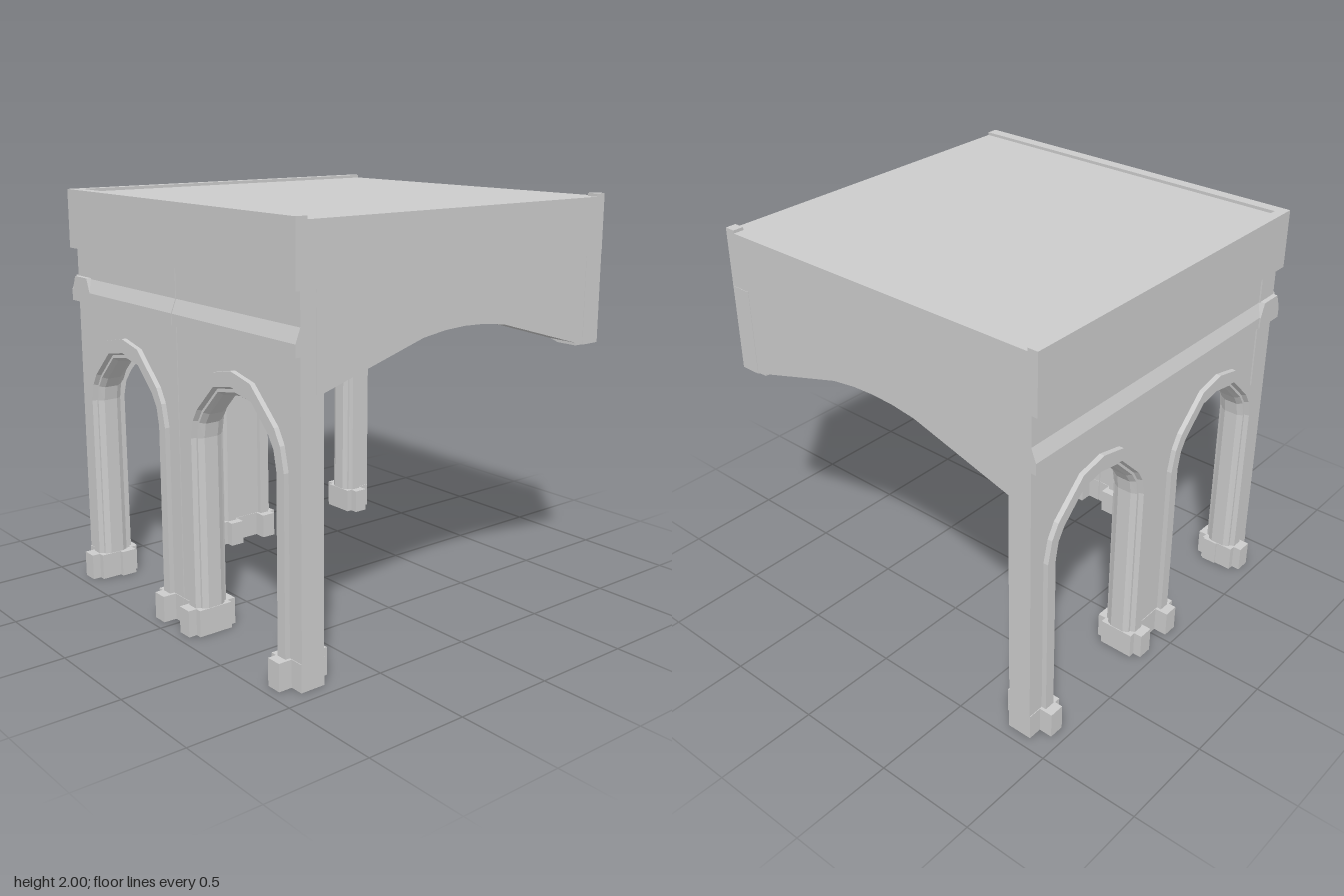
import * as THREE from 'three';

const mat = new THREE.MeshStandardMaterial({ color: 0xcccccc, flatShading: true, side: THREE.DoubleSide });

function add(parent, name, geometry) {
  const mesh = new THREE.Mesh(geometry, mat);
  mesh.name = name;
  parent.add(mesh);
  return mesh;
}

// Box given by its two opposite corners
function box(parent, name, x0, x1, y0, y1, z0, z1) {
  const mesh = add(parent, name, new THREE.BoxGeometry(x1 - x0, y1 - y0, z1 - z0));
  mesh.position.set((x0 + x1) / 2, (y0 + y1) / 2, (z0 + z1) / 2);
  return mesh;
}

function extrude(points, depth) {
  const shape = new THREE.Shape(points.map(([x, y]) => new THREE.Vector2(x, y)));
  return new THREE.ExtrudeGeometry(shape, { depth, bevelEnabled: false });
}

// Half outlines of the arch, from the ground to the crown
const outer = [[0.37, 0], [0.37, 0.95], [0.345, 1.06], [0.305, 1.13], [0.14, 1.285], [0, 1.315]];
const inner = [[0.28, 0], [0.285, 0.95], [0.272, 1.02], [0.24, 1.07], [0.13, 1.18], [0, 1.2]];

// Whole arch outline, right foot to left foot; t blends outer to inner
function archLine(t) {
  const half = outer.map(([x, y], i) => [x + (inner[i][0] - x) * t, y + (inner[i][1] - y) * t]);
  return half.concat(half.slice(0, -1).reverse().map(([x, y]) => [-x, y]));
}

// Stepped moulding swept around the arch, through the wall's thickness
function mouldingGeometry() {
  const half = [[0, 0.055], [0, 0.085], [0.6, 0.085], [0.7, 0.062], [0.84, 0.062], [1, 0.035]];
  const section = half.concat(half.slice().reverse().map(([t, d]) => [t, -d]));
  const rows = section.map(([t, d]) => archLine(t).map(([x, y]) => [x, y, d]));
  const pos = [];
  for (let i = 0; i < rows.length - 1; i++) {
    for (let j = 0; j < rows[i].length - 1; j++) {
      const a = rows[i][j], b = rows[i][j + 1], c = rows[i + 1][j], d = rows[i + 1][j + 1];
      pos.push(...a, ...b, ...d, ...a, ...d, ...c);
    }
  }
  const g = new THREE.BufferGeometry();
  g.setAttribute('position', new THREE.Float32BufferAttribute(pos, 3));
  g.computeVertexNormals();
  return g;
}

// One arcade bay, centred on its arch; extL and extR lengthen the cornice at a corner
function bay(name, half, extL = 0, extR = 0) {
  const g = new THREE.Group();
  g.name = name;

  const wall = extrude([[half, 0], [half, 1.72], [-half, 1.72], [-half, 0], ...archLine(0).reverse()], 0.12);
  wall.translate(0, 0, -0.06);
  add(g, 'bayWall', wall);
  add(g, 'archMoulding', mouldingGeometry());

  // Cornice with a sloped top on both wall faces
  const side = [[0.058, 1.57], [0.085, 1.5], [0.085, 1.445], [0.058, 1.445]];
  const cornice = extrude([...side, ...side.slice().reverse().map(([x, y]) => [-x, y])], 2 * half + extL + extR);
  cornice.rotateY(Math.PI / 2);
  cornice.translate(-half - extL, 0, 0);
  add(g, 'cornice', cornice);

  // Stepped pier bases
  for (const s of [-1, 1]) {
    const block = (name, a, b, d) => box(g, name, Math.min(s * a, s * b), Math.max(s * a, s * b), 0, 0.13, -d, d);
    block('pierBase', 0.38, half, 0.063);
    block('pierBaseProjection', 0.308, 0.385, 0.13);
    block('jambBase', 0.277, 0.31, 0.088);
  }
  return g;
}

// Wide shallow arch beam, in its own plane along x
function spandrelGeometry(x0, x1, mid, depth) {
  const arc = [[-0.8, 1.282], [-0.5, 1.37], [-0.25, 1.443], [-0.12, 1.461], [0, 1.466],
    [0.12, 1.461], [0.25, 1.443], [0.5, 1.37], [0.8, 1.282]].map(([x, y]) => [mid + x, y]);
  return extrude([[x0, 1.72], [x0, 1.282], ...arc, [x1, 1.282], [x1, 1.72]], depth);
}

export function createModel() {
  const model = new THREE.Group();
  model.name = 'arcadeCorner';

  // Arcade along the back
  [[-0.42, 0.03], [0.49, 0]].forEach(([x, ext], i) => {
    const b = bay('backBay' + (i + 1), 0.455, ext, 0);
    b.position.set(x, 0, -0.815);
    model.add(b);
  });

  // Arcade along the right side, with a fine joint between its bays
  [[-0.43, 0.025], [0.48, 0]].forEach(([z, ext], i) => {
    const b = bay('rightBay' + (i + 1), 0.452, 0, ext);
    b.rotation.y = Math.PI / 2;
    b.position.set(-0.82, 0, z);
    model.add(b);
  });

  // Wide arches over the two open sides
  const front = add(model, 'frontSpandrel', spandrelGeometry(-0.8, 0.94, 0.035, 0.155));
  front.position.z = 0.78;
  const left = add(model, 'leftSpandrel', spandrelGeometry(-0.935, 0.8, -0.025, 0.155));
  left.rotation.y = Math.PI / 2;
  left.position.x = 0.79;
  box(model, 'cornerPendant', 0.84, 0.947, 1.28, 1.71, 0.83, 0.937);

  // Roof slab with a low kerb on the arcade sides and a corner stub
  box(model, 'roofSlab', -0.908, 0.945, 1.71, 1.985, -0.905, 0.94);
  box(model, 'rightKerb', -0.908, -0.85, 1.985, 2, -0.905, 0.94);
  box(model, 'backKerb', -0.85, 0.945, 1.985, 2, -0.905, -0.855);
  box(model, 'cornerStub', 0.89, 0.945, 1.985, 2, 0.885, 0.94);

  return model;
}
